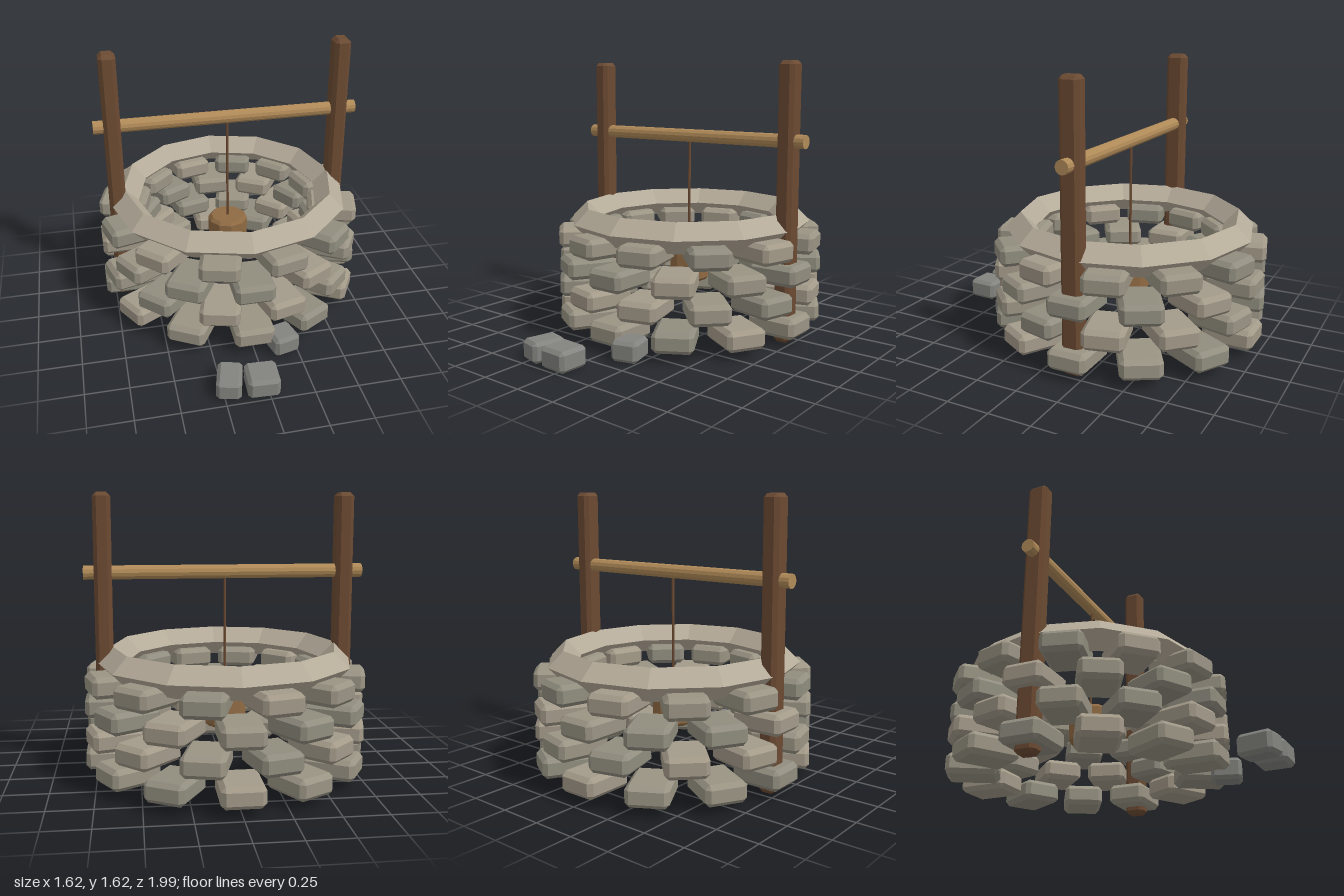
import * as THREE from 'three';
import { ConvexGeometry } from 'three/addons/geometries/ConvexGeometry.js';

const CENTER_Z = -0.18;
const material = color => new THREE.MeshStandardMaterial({ color, flatShading: true });

// Box with every edge cut at 45 degrees
function chamferedBox(w, h, d, c) {
  const points = [];
  for (const sx of [-1, 1]) for (const sy of [-1, 1]) for (const sz of [-1, 1]) {
    const x = w / 2, y = h / 2, z = d / 2;
    points.push(
      new THREE.Vector3(sx * x, sy * (y - c), sz * (z - c)),
      new THREE.Vector3(sx * (x - c), sy * y, sz * (z - c)),
      new THREE.Vector3(sx * (x - c), sy * (y - c), sz * z));
  }
  return new ConvexGeometry(points);
}

export function createModel() {
  const model = new THREE.Group();
  model.name = 'well';

  function add(parent, name, geometry, mat, x, y, z, turn = 0) {
    const mesh = new THREE.Mesh(geometry, mat);
    mesh.name = name;
    mesh.position.set(x, y, z);
    mesh.rotation.y = turn;
    parent.add(mesh);
    return mesh;
  }

  const well = new THREE.Group();
  well.name = 'wellBody';
  well.position.z = CENTER_Z;
  model.add(well);

  // Four staggered rings of twelve stones
  const stone = chamferedBox(0.235, 0.12, 0.3, 0.025);
  const stoneTints = [0x9a9484, 0xa39a89, 0x918d7f].map(material);
  const count = 12;
  [0.115, 0.27, 0.42, 0.575].forEach((y, row) => {
    const course = new THREE.Group();
    course.name = 'stoneCourse' + (row + 1);
    well.add(course);
    for (let i = 0; i < count; i++) {
      const a = (i + (row % 2) / 2) / count * Math.PI * 2;
      add(course, 'wallStone', stone, stoneTints[(i * 2 + row + (i >> 2)) % 3],
        Math.sin(a) * 0.66, y, Math.cos(a) * 0.66, a);
    }
  });

  // Diamond-section coping ring
  const rim = new THREE.TorusGeometry(0.655, 0.09, 4, 12).rotateX(-Math.PI / 2);
  add(well, 'rim', rim, material(0xb5ab99), 0, 0.667, 0);

  // Posts and crossbar
  const darkWood = material(0x6b4a32);
  const post = chamferedBox(0.1, 1.62, 0.12, 0.022);
  add(well, 'leftPost', post, darkWood, 0.695, 0.82, 0);
  add(well, 'rightPost', post, darkWood, -0.695, 0.82, 0);
  const bar = new THREE.CylinderGeometry(0.04, 0.04, 1.61, 12).rotateZ(Math.PI / 2);
  add(well, 'crossbar', bar, material(0xb08a58), 0, 1.18, 0);

  // Rope and hanging bucket
  add(well, 'rope', new THREE.CylinderGeometry(0.008, 0.008, 0.7, 8), darkWood, 0, 0.83, 0);
  const bucketProfile = [[0, 0], [0.105, 0], [0.125, 0.02], [0.125, 0.2], [0.105, 0.22], [0, 0.22]]
    .map(([r, y]) => new THREE.Vector2(r, y));
  add(well, 'bucket', new THREE.LatheGeometry(bucketProfile, 10), material(0x8f6a43), 0, 0.275, 0);

  // Fallen stones in front
  const looseMat = material(0x83837f);
  [[0.14, 0.2, -0.21, 0.873, -0.25], [0.18, 0.185, -0.032, 0.9, -0.05], [0.16, 0.17, 0.165, 0.59, 0.25]]
    .forEach(([w, d, x, z, turn]) =>
      add(model, 'looseStone', chamferedBox(w, 0.12, d, 0.02), looseMat, x, 0.065, z, turn));

  return model;
}
